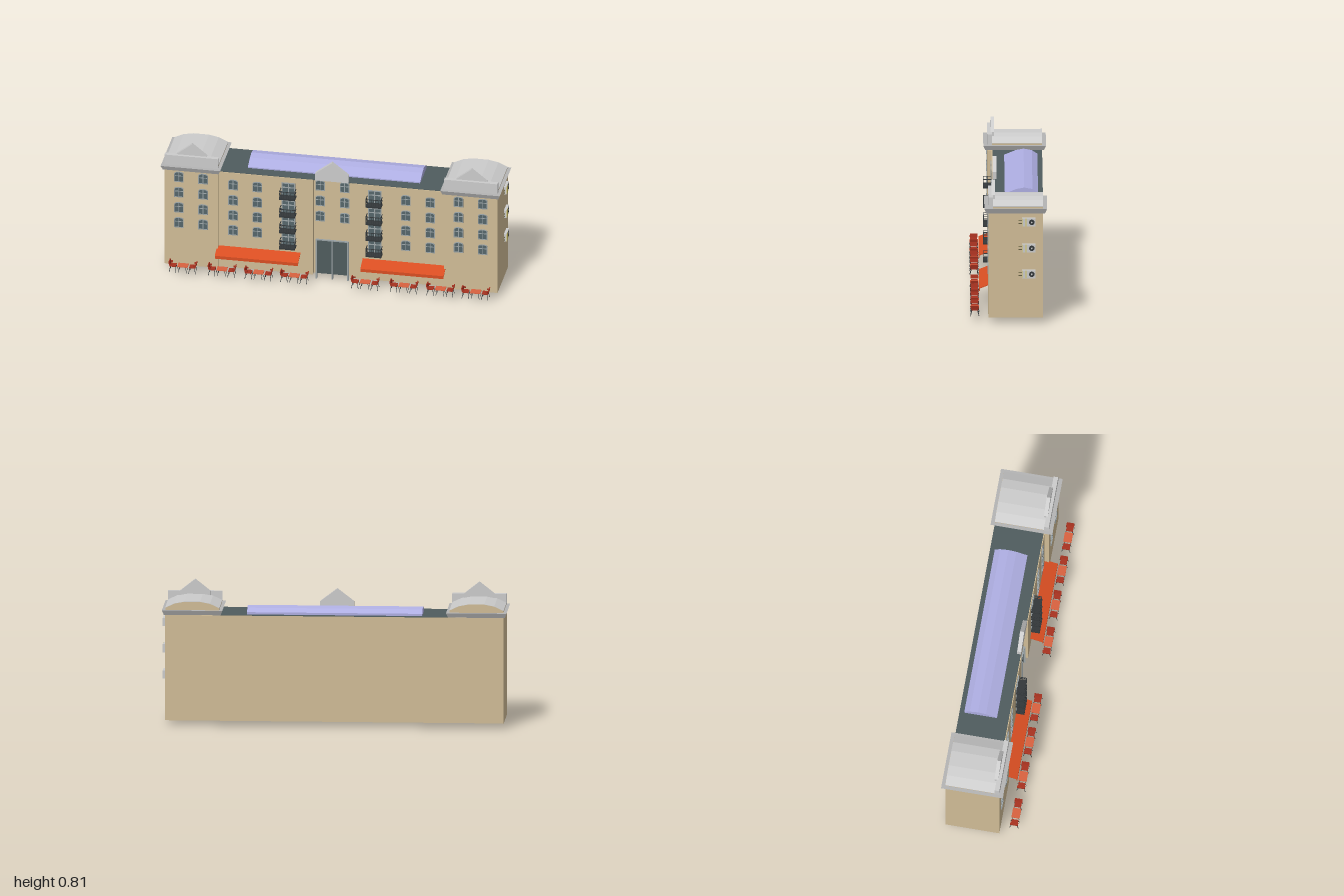
import * as THREE from 'three';

const mat = (color, side = THREE.FrontSide) => new THREE.MeshStandardMaterial({ color, side, flatShading: true });
const wall = mat(0xd0bc96), grey = mat(0xcccccc), stone = mat(0xb4b4b4), slate = mat(0x4f5c5e), glass = mat(0x55666b);
const frameMat = mat(0x9aa3a6), iron = mat(0x33383a), awningMat = mat(0xd94e22), red = mat(0xa83220);
const tableMat = mat(0xd8613f), lilac = mat(0xaeaee2), yellow = mat(0xd8c860), bronze = mat(0x77704f);

function add(parent, name, geo, material, x = 0, y = 0, z = 0) {
  const m = new THREE.Mesh(geo, material);
  m.name = name;
  m.position.set(x, y, z);
  parent.add(m);
  return m;
}
// Box given by its min and max corners
function box(parent, name, material, x0, x1, y0, y1, z0, z1) {
  return add(parent, name, new THREE.BoxGeometry(x1 - x0, y1 - y0, z1 - z0), material,
    (x0 + x1) / 2, (y0 + y1) / 2, (z0 + z1) / 2);
}
// Polygon in x,y extruded along z
const poly = pts => new THREE.Shape(pts.map(p => new THREE.Vector2(...p)));
const prism = (shape, depth) => new THREE.ExtrudeGeometry(shape, { depth, bevelEnabled: false, curveSegments: 8 });
// Thin rod between two points
function rod(parent, name, material, a, b, r) {
  const p = new THREE.Vector3(...a), d = new THREE.Vector3(...b).sub(p);
  const m = add(parent, name, new THREE.CylinderGeometry(r, r, d.length(), 5), material);
  m.position.copy(p).addScaledVector(d, 0.5);
  m.quaternion.setFromUnitVectors(new THREE.Vector3(0, 1, 0), d.normalize());
}
function group(parent, name, x = 0, y = 0, z = 0) {
  const g = new THREE.Group();
  g.name = name;
  g.position.set(x, y, z);
  parent.add(g);
  return g;
}

// Arched outline centred on the origin
function arch(w, h, rise) {
  const s = new THREE.Shape();
  s.moveTo(-w / 2, -h / 2).lineTo(w / 2, -h / 2).lineTo(w / 2, h / 2 - rise);
  s.quadraticCurveTo(w / 2, h / 2, 0, h / 2).quadraticCurveTo(-w / 2, h / 2, -w / 2, h / 2 - rise);
  return s;
}
const frameShape = arch(0.056, 0.066, 0.016);
frameShape.holes.push(arch(0.048, 0.058, 0.013));
const frameGeo = prism(frameShape, 0.005), paneGeo = prism(arch(0.05, 0.06, 0.013), 0.002);

function windowUnit(parent, x, y, z) {
  const g = group(parent, 'window', x, y, z);
  add(g, 'windowFrame', frameGeo, frameMat);
  add(g, 'windowGlass', paneGeo, glass);
  box(g, 'mullion', frameMat, -0.002, 0.002, -0.03, 0.03, 0, 0.004);
  box(g, 'transom', frameMat, -0.025, 0.025, 0.004, 0.008, 0, 0.004);
}

function balcony(parent, x, y, z) {
  const g = group(parent, 'balcony', x, y, z);
  box(g, 'balconyDoorGlass', glass, -0.036, 0.036, 0.01, 0.087, 0, 0.002);
  for (const px of [-0.037, 0, 0.037]) box(g, 'doorStile', frameMat, px - 0.003, px + 0.003, 0.01, 0.09, 0, 0.005);
  for (const py of [0.06, 0.087]) box(g, 'doorRail', frameMat, -0.04, 0.04, py - 0.003, py + 0.003, 0, 0.005);
  box(g, 'balconyFloor', iron, -0.046, 0.046, 0, 0.01, 0, 0.051);
  // railing
  for (const py of [0.03, 0.05]) {
    box(g, 'frontRail', iron, -0.046, 0.046, py, py + 0.003, 0.046, 0.05);
    for (const s of [-1, 1]) box(g, 'sideRail', iron, s * 0.044 - 0.002, s * 0.044 + 0.002, py, py + 0.003, 0, 0.05);
  }
  for (let i = 0; i <= 8; i++) {
    const px = -0.044 + i * 0.011;
    box(g, 'baluster', iron, px - 0.001, px + 0.001, 0.01, 0.05, 0.047, 0.049);
  }
  for (const s of [-1, 1]) box(g, 'sideBaluster', iron, s * 0.044 - 0.001, s * 0.044 + 0.001, 0.01, 0.05, 0.022, 0.024);
}

function tower(parent, s) {
  const g = group(parent, 'tower', s * 0.8225);
  // cornice flaring outward toward its top
  const cornice = new THREE.BoxGeometry(0.35, 0.027, 0.362);
  const p = cornice.attributes.position;
  for (let i = 0; i < p.count; i++) {
    if (p.getY(i) < 0) p.setXYZ(i, p.getX(i) * 0.94, p.getY(i), p.getZ(i) * 0.94);
  }
  cornice.computeVertexNormals();
  add(g, 'cornice', cornice, stone, 0, 0.662, -0.041);
  // vaulted roof with walled ends
  const roof = [[0.157, 0.689], [0.103, 0.714], [0.045, 0.725], [-0.045, 0.725], [-0.103, 0.714], [-0.157, 0.689]];
  add(g, 'roofWall', prism(poly([[-0.155, 0.67], [0.155, 0.67], ...roof.map(([x, y]) => [x * 0.99, y - 0.001])]), 0.289),
    wall, 0, 0, -0.2);
  const skin = [...roof, ...roof.map(([x, y]) => [x, y - 0.004]).reverse()];
  add(g, 'vaultRoof', prism(poly(skin), 0.288), grey, 0, 0, -0.1995);
  // front parapet and gable
  box(g, 'parapet', grey, -0.1575, 0.1575, 0.675, 0.74, 0.09, 0.117);
  add(g, 'towerGable', prism(poly([[-0.09, 0.715], [0.09, 0.715], [0.09, 0.74], [0, 0.811], [-0.09, 0.74]]), 0.022), grey, 0, 0, 0.077);
  for (const x of [-0.071, 0.071]) for (const y of [0.604, 0.504, 0.404, 0.306]) windowUnit(g, x, y, 0.117);
}

function chair(parent, s) {
  const g = group(parent, 'chair', s * 0.057);
  box(g, 'chairSeat', red, -0.018, 0.018, 0.063, 0.068, -0.02, 0.02);
  const back = box(g, 'chairBack', red, -0.003, 0.003, 0.07, 0.093, -0.022, 0.022);
  back.position.x = s * 0.02;
  back.rotation.z = -s * 0.2;
  for (const z of [-1, 1]) {
    box(g, 'armRest', red, -0.006 + s * 0.012, 0.006 + s * 0.012, 0.074, 0.084, z * 0.021 - 0.002, z * 0.021 + 0.002);
    for (const x of [-1, 1]) rod(g, 'chairLeg', iron, [x * 0.014, 0.064, z * 0.015], [x * 0.02, 0.029, z * 0.025], 0.0017);
  }
}

function diningSet(parent, x) {
  const g = group(parent, 'diningSet', x, 0, 0.195);
  box(g, 'tableTop', tableMat, -0.03, 0.03, 0.066, 0.07, -0.024, 0.024);
  for (const sx of [-1, 1]) for (const sz of [-1, 1]) {
    rod(g, 'tableLeg', iron, [sx * 0.018, 0.066, sz * 0.016], [sx * 0.024, 0.029, sz * 0.02], 0.0015);
  }
  chair(g, 1);
  chair(g, -1);
}

function airConditioner(parent, y) {
  const g = group(parent, 'airConditioner', 0.98, y, -0.117);
  box(g, 'casing', grey, -0.004, 0.016, -0.024, 0.024, -0.04, 0.04);
  add(g, 'fan', new THREE.CylinderGeometry(0.016, 0.016, 0.003, 20).rotateZ(Math.PI / 2), iron, 0.0165, 0, -0.017);
  add(g, 'fanHub', new THREE.CylinderGeometry(0.005, 0.005, 0.002, 12).rotateZ(Math.PI / 2), grey, 0.018, 0, -0.017);
  for (let i = 0; i < 5; i++) {
    const z = 0.005 + i * 0.0075;
    box(g, 'grilleStripe', yellow, 0.016, 0.0168, -0.023, 0.023, z - 0.001, z + 0.001);
  }
  for (const py of [-0.008, 0.008]) rod(g, 'pipe', bronze, [0.006, py, 0.04], [0.006, py, 0.06], 0.0028);
}

export function createModel() {
  const root = new THREE.Group();
  root.name = 'building';
  const g = group(root, 'facade', -0.0025);

  // Stepped footprint: projecting towers, wings, recessed centre bay
  const half = [[0.11, 0.068], [0.11, 0.093], [0.665, 0.093], [0.665, 0.117], [0.98, 0.117], [0.98, -0.2]];
  const plan = [...half, ...half.map(([x, z]) => [-x, z]).reverse()].map(([x, z]) => [x, -z]);
  add(g, 'mainBody', prism(poly(plan), 0.617).rotateX(-Math.PI / 2), wall, 0, 0.029, 0);
  box(g, 'flatRoof', slate, -0.665, 0.665, 0.644, 0.649, -0.2, 0.088);

  // Faceted skylight running along the roof
  const vault = poly([[-0.02, 0.647], [-0.02, 0.656], [0.045, 0.683], [0.092, 0.692], [0.14, 0.683], [0.172, 0.662], [0.172, 0.647]]);
  add(g, 'skylight', prism(vault, 1.014).rotateY(Math.PI / 2), lilac, -0.507, 0, 0);

  // Centre bay: gable, windows and glazed entrance with posts
  add(g, 'centreGable', prism(poly([[-0.098, 0.645], [0.098, 0.645], [0.098, 0.69], [0, 0.765], [-0.098, 0.69]]), 0.024), grey, 0, 0, 0.066);
  for (const x of [-0.072, 0.072]) for (const y of [0.604, 0.504, 0.404]) windowUnit(g, x, y, 0.068);
  box(g, 'entranceGlass', slate, -0.095, 0.095, 0.03, 0.25, 0.06, 0.071);
  for (const x of [-0.093, 0, 0.093]) box(g, 'entrancePost', frameMat, x - 0.004, x + 0.004, 0, 0.25, 0.063, 0.082);
  box(g, 'entranceLintel', frameMat, -0.097, 0.097, 0.246, 0.253, 0.063, 0.076);

  // Awning section: sloping sheet with a hanging front flap
  const awning = poly([[-0.093, 0.165], [-0.169, 0.135], [-0.169, 0.116], [-0.165, 0.116], [-0.165, 0.131], [-0.093, 0.16]]);
  for (const s of [-1, 1]) {
    tower(g, s);
    const wing = group(g, 'wing', 0, 0, 0.093);
    for (const x of [0.437, 0.58]) for (const y of [0.57, 0.47, 0.372, 0.274]) windowUnit(wing, s * x, y, 0);
    for (const y of [0.525, 0.411, 0.307, 0.202]) balcony(wing, s * 0.254, y, 0);
    add(g, 'awning', prism(awning, 0.49).rotateY(Math.PI / 2), awningMat, s * 0.428 - 0.245, 0, 0);
  }
  for (const x of [-0.855, -0.625, -0.41, -0.2, 0.217, 0.445, 0.66, 0.867]) diningSet(g, x);
  for (const y of [0.597, 0.443, 0.289]) airConditioner(g, y);
  return root;
}
